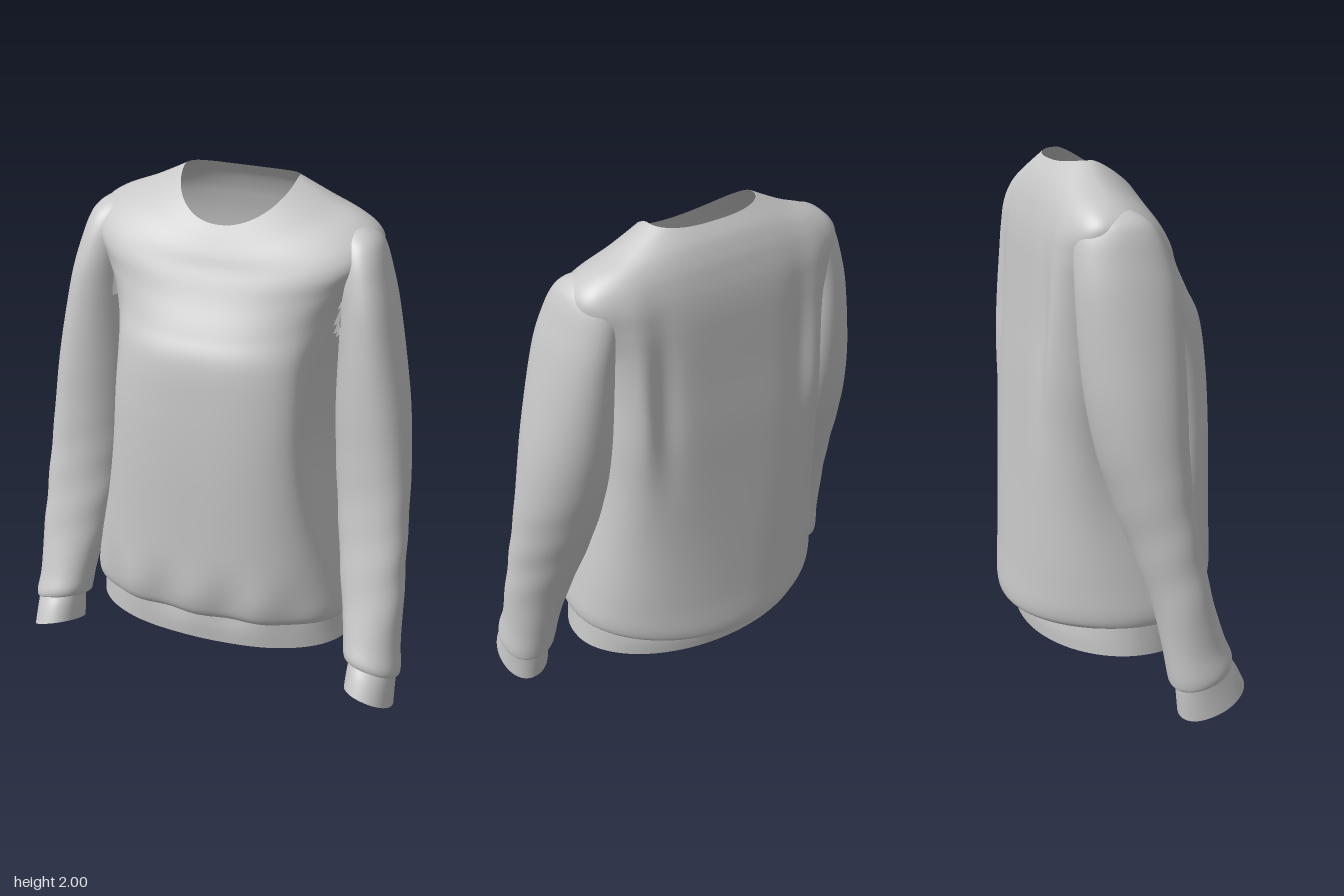
import * as THREE from 'three';

const fabric = new THREE.MeshStandardMaterial({ color: 0xc8c8c8, side: THREE.DoubleSide });
fabric.name = 'grey fabric';

// Smoothly resample a short list of cross-section parameter rows.
function resample(rows, steps) {
  const out = [];
  for (let i = 0; i < rows.length - 1; i++) {
    const p = [rows[Math.max(i - 1, 0)], rows[i], rows[i + 1], rows[Math.min(i + 2, rows.length - 1)]];
    for (let s = 0; s < steps; s++) {
      const t = s / steps;
      out.push(p[1].map((b, k) => {
        const a = p[0][k], c = p[2][k], d = p[3][k];
        return b + 0.5 * t * (c - a + t * (2 * a - 5 * b + 4 * c - d + t * (3 * (b - c) + d - a)));
      }));
    }
  }
  out.push(rows[rows.length - 1]);
  return out;
}

// Skin closed loops of points; rows run upward, loops run from +x to +z.
// Cloth whose corner satisfies isOpen(x, y, z) is cut away.
function loft(name, rows, steps, point, segments, isOpen = () => false) {
  const rings = resample(rows, steps), points = [], index = [];
  for (const ring of rings) {
    for (let j = 0; j < segments; j++) points.push(point(ring, (j / segments) * Math.PI * 2));
  }
  for (let i = 0; i < rings.length - 1; i++) {
    for (let j = 0; j < segments; j++) {
      const k = (j + 1) % segments, a = i * segments, b = a + segments;
      if (isOpen(...points[a + j])) continue;
      index.push(a + j, b + j, a + k, a + k, b + j, b + k);
    }
  }
  const geometry = new THREE.BufferGeometry();
  geometry.setAttribute('position', new THREE.Float32BufferAttribute(points.flat(), 3));
  geometry.setIndex(index);
  geometry.computeVertexNormals();
  const mesh = new THREE.Mesh(geometry, fabric);
  mesh.name = name;
  return mesh;
}

const power = (v, n) => Math.sign(v) * Math.abs(v) ** (2 / n);
const bump = (v, centre, width) => Math.exp(-(((v - centre) / width) ** 2));

// Torso loop: half width, front z, back z, front y, back y, side y, side z, front and back roundness.
function torsoPoint([w, zf, zb, yf, yb, ys, zs, nf, nb], a) {
  const c = Math.cos(a), s = Math.sin(a), front = s >= 0;
  const n = front ? nf : nb;
  let x = w * power(c, n);
  let z = zs + (front ? zf - zs : zs - zb) * power(s, n);
  const y = ys + ((front ? yf : yb) - ys) * Math.abs(s) ** (front ? 1.25 : 2);
  // cloth pressed in under the arms and beside the chest
  x *= 1 - 0.07 * bump(z, -0.03, 0.12) * bump(y, 1.1, 0.35) - 0.16 * bump(z, 0.15, 0.11) * bump(y, 1.12, 0.4);
  // hem puckers in front, soft folds on the back
  if (front) {
    z += 0.012 * Math.cos(x * 24) * bump(y, 0.42, 0.12) * s * s;
  } else {
    const ax = Math.abs(x);
    z -= (0.025 * bump(ax, 0.39, 0.05) - 0.015 * bump(ax, 0.29, 0.05)) * bump(y, 1.4, 0.3) * Math.abs(s);
  }
  return [x + 0.01 * bump(y, 2, 0.12), y, z];
}

const bodyRows = [
  [0.515, 0.315, -0.31, 0.345, 0.3, 0.33, 0.0, 2.4, 2],
  [0.525, 0.345, -0.37, 0.35, 0.29, 0.33, 0.0, 2.5, 2],
  [0.53, 0.37, -0.387, 0.4, 0.33, 0.38, 0.0, 2.5, 2.1],
  [0.515, 0.386, -0.375, 0.52, 0.48, 0.5, 0.0, 2.5, 2.4],
  [0.485, 0.386, -0.357, 0.75, 0.75, 0.75, 0.0, 2.6, 3],
  [0.465, 0.382, -0.342, 1.0, 1.0, 1.0, -0.01, 2.7, 3.8],
  [0.46, 0.37, -0.33, 1.22, 1.22, 1.22, -0.03, 2.7, 4.3],
  [0.455, 0.35, -0.315, 1.4, 1.42, 1.42, -0.05, 2.5, 4.4],
  [0.47, 0.305, -0.303, 1.5, 1.6, 1.58, -0.08, 2.3, 4],
  [0.51, 0.25, -0.296, 1.6, 1.69, 1.69, -0.09, 2.3, 3.4],
  [0.545, 0.215, -0.286, 1.67, 1.76, 1.775, -0.1, 2.4, 3],
  [0.528, 0.192, -0.272, 1.715, 1.82, 1.83, -0.1, 2.4, 2.8],
  [0.465, 0.172, -0.255, 1.76, 1.875, 1.877, -0.1, 2.3, 2.6],
  [0.35, 0.147, -0.226, 1.808, 1.935, 1.927, -0.1, 2.2, 2.6],
  [0.218, 0.12, -0.188, 1.857, 1.983, 1.997, -0.09, 2.1, 2.6],
];

const bandRows = [
  [0.525, 0.312, -0.31, 0.215, 0.195, 0.215, 0, 2.3, 2],
  [0.52, 0.318, -0.315, 0.28, 0.25, 0.27, 0, 2.3, 2],
  [0.515, 0.315, -0.31, 0.345, 0.3, 0.33, 0, 2.4, 2],
];

// Sleeve loop: centre y, inner x, outer x, back z, front z, rise toward the front and toward the body.
const sleeveRows = [
  [0.19, 0.575, 0.755, 0.085, 0.28, 0.035, 0.025],
  [0.172, 0.555, 0.764, 0.065, 0.29, 0.038, 0.025],
  [0.205, 0.545, 0.768, 0.055, 0.293, 0.035, 0.025],
  [0.29, 0.535, 0.757, 0.04, 0.265, 0.02, 0.015],
  [0.42, 0.512, 0.755, 0.015, 0.225, 0.01, 0],
  [0.6, 0.475, 0.746, -0.04, 0.182, 0, 0],
  [0.8, 0.442, 0.736, -0.108, 0.145, 0, 0],
  [1.0, 0.42, 0.722, -0.17, 0.132, 0, 0],
  [1.2, 0.41, 0.7, -0.21, 0.13, 0, 0],
  [1.4, 0.412, 0.665, -0.23, 0.125, 0, 0],
  [1.58, 0.41, 0.628, -0.238, 0.112, 0, 0],
  [1.7, 0.39, 0.595, -0.235, 0.085, 0, 0],
  [1.775, 0.37, 0.571, -0.225, 0.055, 0, 0],
  [1.82, 0.36, 0.545, -0.205, 0.02, 0, 0],
  [1.85, 0.36, 0.5, -0.17, -0.03, 0, 0],
  [1.862, 0.38, 0.44, -0.13, -0.08, 0, 0],
];

const cuffRows = [
  [0.062, 0.57, 0.757, 0.095, 0.345, 0.052, 0.03],
  [0.13, 0.572, 0.755, 0.088, 0.315, 0.045, 0.028],
  [0.19, 0.575, 0.755, 0.085, 0.28, 0.035, 0.025],
];

// Hidden cloth at the armhole: body inside the sleeve, sleeve inside the body.
const isArmhole = (x, y, z) => Math.abs(x) > 0.43 && y > 1.45 && y < 1.74 && z > -0.18 && z < 0.05;
const isInsideBody = (x, y, z) => Math.abs(x) < 0.45 && y > 1.48 && z > -0.21 && z < 0.05;

// One sleeve with its cuff; the right one hangs slightly higher.
function createSleeve(side, lift) {
  const point = ([y, x0, x1, z0, z1, rise, lean], a) => {
    const c = Math.cos(a) * side, s = Math.sin(a);
    // shallow slanting wrinkles along the forearm
    const crease = 1 + 0.012 * Math.sin(y * 30 + a * 2) * bump(y, 0.62, 0.28);
    const x = (x0 + x1) / 2 + ((x1 - x0) / 2) * power(c, 2.1) * crease;
    const skew = 0.035 * c * THREE.MathUtils.smoothstep(y, 0.2, 0.8);
    const z = (z0 + z1) / 2 + ((z1 - z0) / 2) * power(s, 2.1) * crease + skew;
    return [side * x, y + rise * s - lean * c + lift * Math.max(0, 1 - y / 1.5), z];
  };
  const label = side > 0 ? 'left' : 'right';
  const group = new THREE.Group();
  group.name = label + 'Arm';
  group.add(loft(label + 'Sleeve', sleeveRows, 8, point, 64, isInsideBody));
  group.add(loft(label + 'Cuff', cuffRows, 4, point, 64));
  return group;
}

export function createModel() {
  const model = new THREE.Group();
  model.name = 'sweatshirt';
  model.add(loft('body', bodyRows, 8, torsoPoint, 128, isArmhole));
  model.add(loft('hemBand', bandRows, 4, torsoPoint, 128));
  model.add(createSleeve(1, -0.002), createSleeve(-1, 0.022));
  return model;
}
